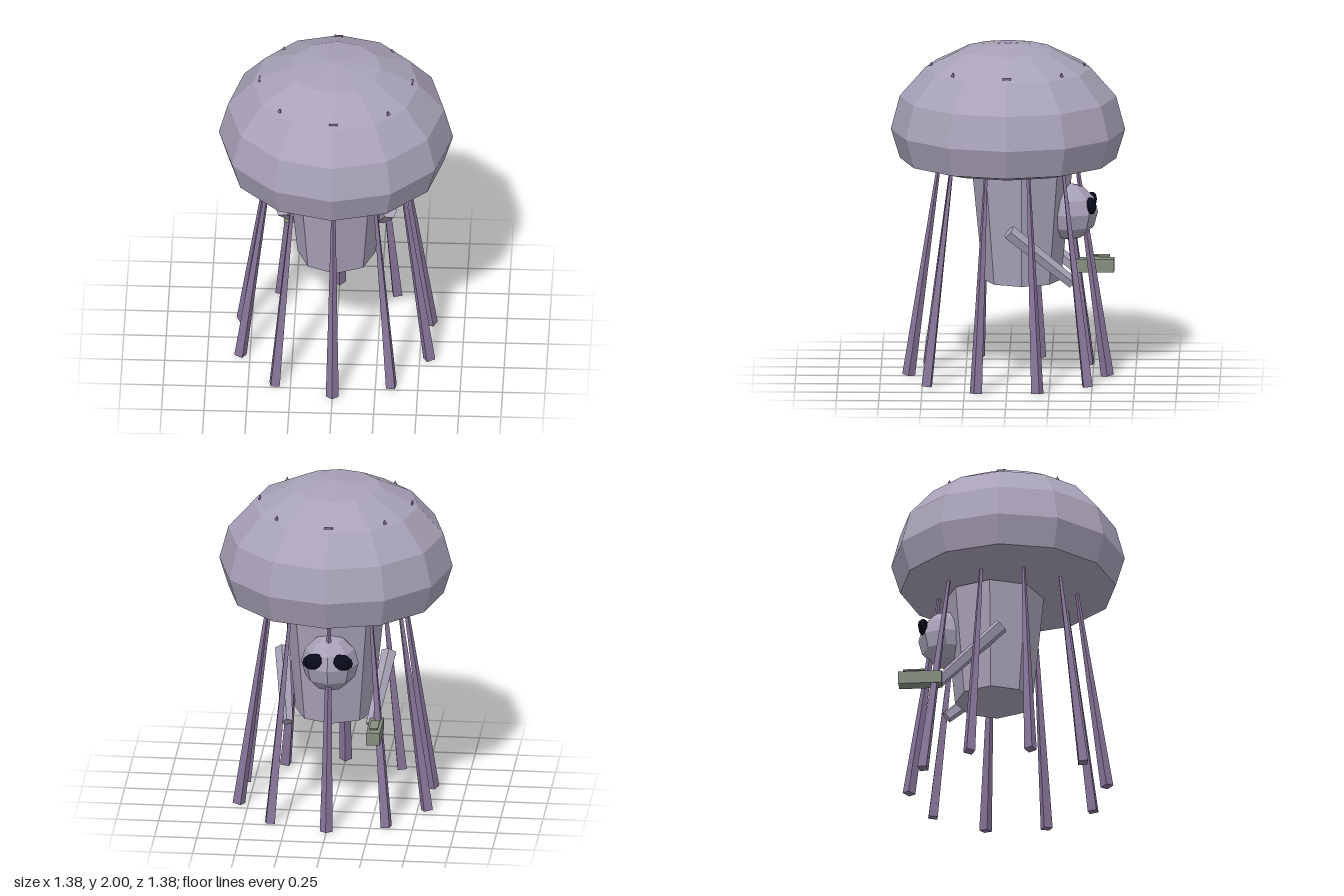
import * as THREE from 'three';

const flat = (name, color) => {
  const m = new THREE.MeshStandardMaterial({ color, flatShading: true });
  m.name = name;
  return m;
};

export function createModel() {
  const model = new THREE.Group();
  model.name = 'jellyfishCreature';
  const skin = flat('lilac skin', 0xa9a2b8);
  const tentacle = flat('dark mauve', 0x88769a);
  const eyeBlack = flat('eye black', 0x0a0c1c);
  const metal = flat('grey green', 0x858f80);

  const add = (name, geometry, material, x = 0, y = 0, z = 0) => {
    const mesh = new THREE.Mesh(geometry, material);
    mesh.name = name;
    mesh.position.set(x, y, z);
    model.add(mesh);
    return mesh;
  };

  // Tapered prism between two points
  const limb = (name, a, b, ra, rb, sides, material, spin = 0) => {
    const dir = b.clone().sub(a);
    const g = new THREE.CylinderGeometry(rb, ra, dir.length(), sides).rotateY(spin);
    const mesh = add(name, g, material);
    mesh.position.copy(a).lerp(b, 0.5);
    mesh.quaternion.setFromUnitVectors(new THREE.Vector3(0, 1, 0), dir.normalize());
    return mesh;
  };

  // Bell with its shallow underside
  const profile = [
    [0, 1.235], [0.25, 1.243], [0.49, 1.272], [0.637, 1.31], [0.69, 1.483],
    [0.637, 1.682], [0.488, 1.852], [0.264, 1.965], [0, 2],
  ].map(([r, y]) => new THREE.Vector2(r, y));
  add('bell', new THREE.LatheGeometry(profile, 12), skin);

  // Small bumps around the bell, alternating slivers and spikes
  for (let i = 0; i < 8; i++) {
    const a = (i * Math.PI) / 4;
    const spike = i % 2 === 1;
    const g = spike
      ? new THREE.ConeGeometry(0.03, 0.05, 3).rotateY(Math.PI)
      : new THREE.BoxGeometry(0.05, 0.02, 0.01);
    const bump = add('bump', g, tentacle, Math.sin(a) * 0.45, spike ? 1.86 : 1.868, Math.cos(a) * 0.45);
    bump.rotation.y = a;
  }

  // Ring of ten tentacles
  for (let i = 0; i < 10; i++) {
    const a = (i * Math.PI) / 5;
    const at = (r, y) => new THREE.Vector3(Math.sin(a) * r, y, Math.cos(a) * r);
    limb('tentacle', at(0.585, 0.005), at(0.405, 1.28), 0.038, 0.011, 4, tentacle, a);
  }

  // Body, wider at the top
  add('body', new THREE.CylinderGeometry(0.295, 0.23, 0.66, 8), skin, 0, 0.91, -0.083);

  // Head and eyes at the rear
  add('head', new THREE.SphereGeometry(0.17, 8, 6), skin, 0, 0.99, -0.36);
  for (const s of [-1, 1]) {
    const eye = add('eye', new THREE.SphereGeometry(1, 8, 6), eyeBlack, s * 0.085, 1.04, -0.49);
    eye.scale.set(0.066, 0.05, 0.032);
    eye.rotation.y = s * 0.2;

    // Arms reaching down past the body
    limb('arm', new THREE.Vector3(s * 0.25, 0.61, -0.385), new THREE.Vector3(s * 0.315, 0.928, -0.01),
      0.036, 0.046, 5, skin, Math.PI);
  }

  // Device held in one hand
  add('device', new THREE.BoxGeometry(0.08, 0.078, 0.255), metal, -0.28, 0.613, -0.494);
  add('devicePlate', new THREE.BoxGeometry(0.05, 0.009, 0.13), metal, -0.28, 0.667, -0.53);
  return model;
}
